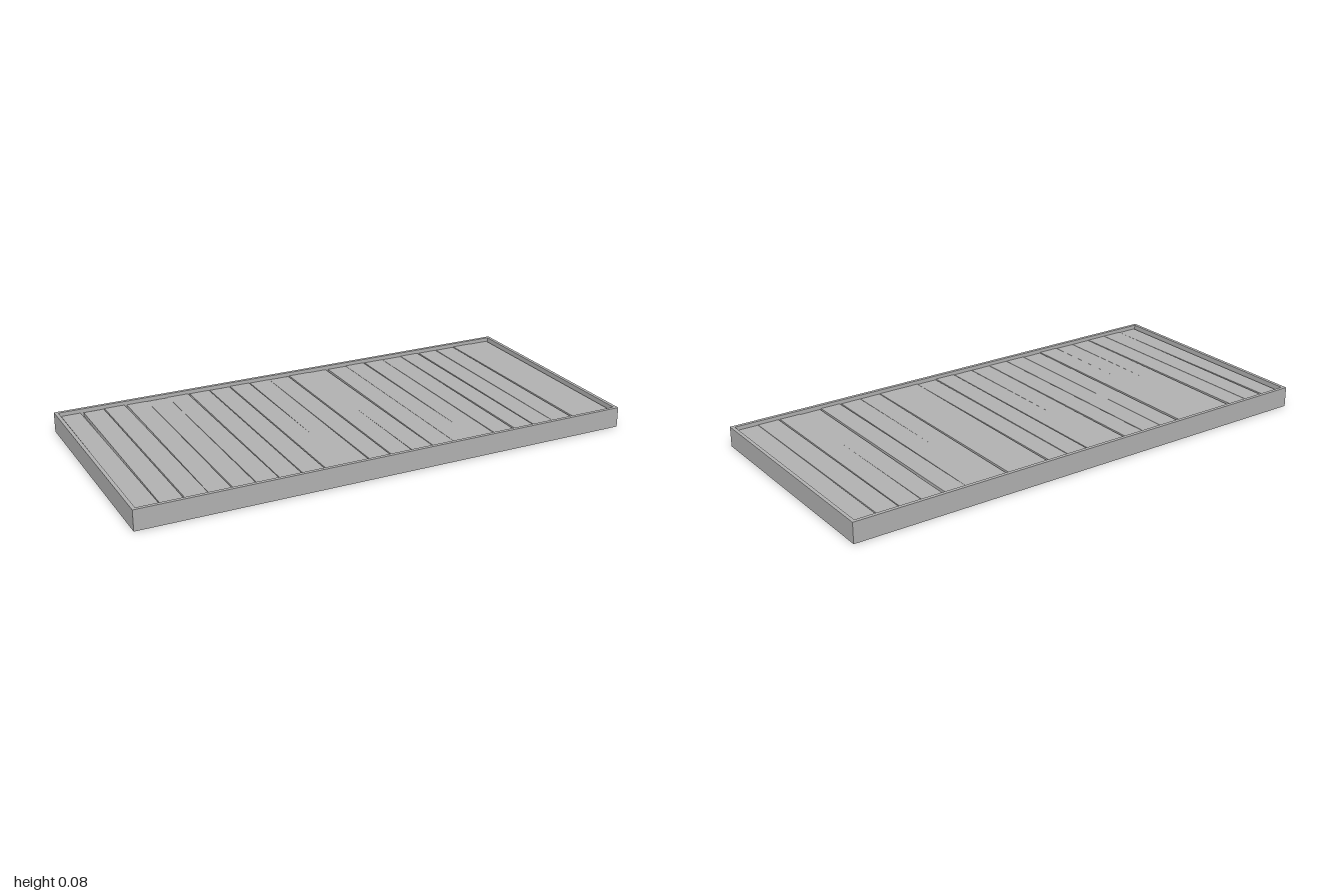
import * as THREE from 'three';

export function createModel() {
  const group = new THREE.Group();
  const grey = new THREE.MeshStandardMaterial({ color: 0xb2b2b2 });
  grey.name = 'grey';

  const W = 1, D = 0.473, H = 0.081, T = 0.014; // half width, half depth, height, wall

  // Upright prism from a plan outline of [x, z] points
  const prism = (points, y, height, holes = []) => {
    const toShape = (p) => new THREE.Shape(p.map(([x, z]) => new THREE.Vector2(x, -z)));
    const shape = toShape(points);
    shape.holes = holes.map(toShape);
    const geo = new THREE.ExtrudeGeometry(shape, { depth: height, bevelEnabled: false });
    return geo.rotateX(-Math.PI / 2).translate(0, y, 0);
  };
  const rect = (x, z) => [[-x, z], [x, z], [x, -z], [-x, -z]];

  // Open frame
  const frame = new THREE.Mesh(prism(rect(W, D), 0, H, [rect(W - T, D - T)]), grey);
  frame.name = 'frame';
  group.add(frame);

  // Gap widths between neighbouring slats, [back, front], from -x to +x
  const gaps = [
    [0.012, 0.008], [0.012, 0.002], [0.004, 0.004], [0.010, 0.002], [0, 0.004], [0, 0.003],
    [0.009, 0.004], [0.003, 0.003], [0.004, 0.004], [0.006, 0], [0, 0.004], [0.006, 0.004],
    [0.001, 0.004], [0.010, 0.002], [0, 0], [0.008, 0.002], [0, 0.003], [0.002, 0.007],
    [0.010, 0.006], [0.003, 0], [0.004, 0.008], [0.003, 0], [0.005, 0.005],
  ];
  const slats = new THREE.Group();
  slats.name = 'slats';
  const count = gaps.length - 1;
  const edge = (i) => -0.982 + (1.964 * i) / count;

  // Slightly crooked slats, set below the rim
  for (let i = 0; i < count; i++) {
    const [lb, lf] = gaps[i], [rb, rf] = gaps[i + 1];
    const l = edge(i), r = edge(i + 1);
    const back = -0.457 + 0.004 * ((i * 5) % 3) / 2, front = 0.455 + 0.002 * (i % 2);
    const outline = [
      [l + lf / 2, front], [r - rf / 2, front],
      [r - rb / 2, back], [l + lb / 2, back],
    ];
    const slat = new THREE.Mesh(prism(outline, 0.05 + 0.001 * ((i * 7) % 3), 0.016), grey);
    slat.name = 'slat';
    slats.add(slat);
  }
  group.add(slats);
  return group;
}
